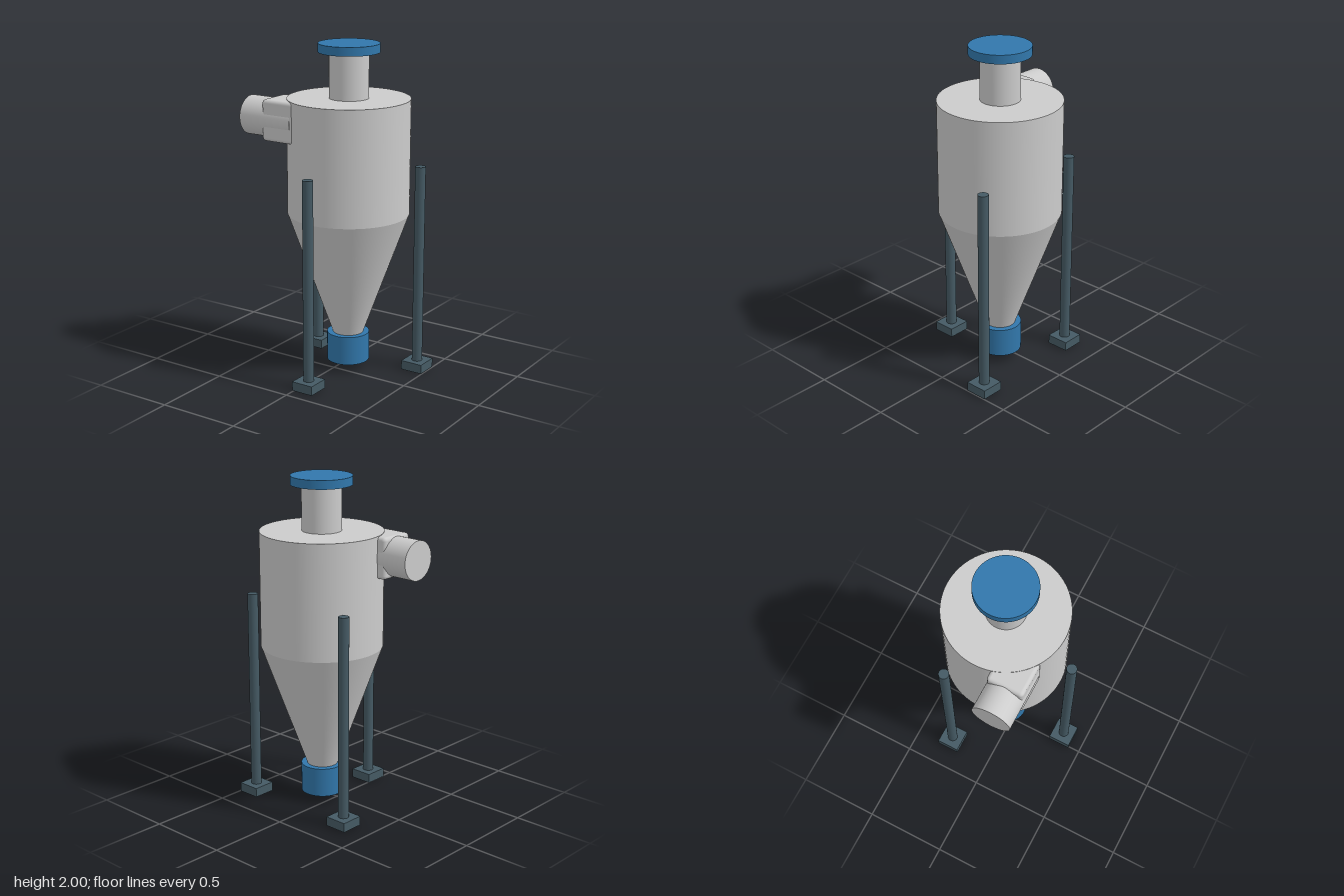
import * as THREE from 'three';
import { RoundedBoxGeometry } from 'three/addons/geometries/RoundedBoxGeometry.js';

const grey = new THREE.MeshStandardMaterial({ color: 0xcccccc });
const blue = new THREE.MeshStandardMaterial({ color: 0x3177ab });
const slate = new THREE.MeshStandardMaterial({ color: 0x455a64 });

const AXIS_X = 0.06, AXIS_Z = -0.066;

function part(name, geometry, material, x, y, z) {
  const mesh = new THREE.Mesh(geometry, material);
  mesh.name = name;
  mesh.position.set(x, y, z);
  return mesh;
}

// Upright cylinder or cone between two heights
function upright(name, rTop, rBottom, y0, y1, material, x = 0, z = 0, sides = 96) {
  const geometry = new THREE.CylinderGeometry(rTop, rBottom, y1 - y0, sides);
  return part(name, geometry, material, x, (y0 + y1) / 2, z);
}

export function createModel() {
  const model = new THREE.Group();
  model.name = 'cycloneSeparator';

  // Vessel parts sharing the main axis
  const vessel = new THREE.Group();
  vessel.name = 'vessel';
  vessel.position.set(AXIS_X, 0, AXIS_Z);
  vessel.add(
    upright('barrel', 0.363, 0.363, 0.99, 1.68, grey),
    upright('cone', 0.363, 0.088, 0.225, 0.99, grey),
    upright('outletPipe', 0.117, 0.117, 1.67, 1.955, grey),
    upright('outletCap', 0.181, 0.181, 1.948, 2, blue),
    upright('dustCup', 0.128, 0.128, 0.06, 0.237, blue)
  );
  model.add(vessel);

  // Tangential inlet: round pipe running through a rounded box
  const inlet = new THREE.Group();
  inlet.name = 'inlet';
  const pipe = new THREE.CylinderGeometry(0.117, 0.117, 0.355, 64).rotateZ(Math.PI / 2);
  inlet.add(
    part('inletPipe', pipe, grey, -0.3225, 1.553, 0.133),
    part('inletTransition', new RoundedBoxGeometry(0.225, 0.246, 0.222, 4, 0.022), grey, -0.232, 1.553, 0.133)
  );
  model.add(inlet);

  // Three legs with square feet, evenly spaced around the axis
  for (let i = 0; i < 3; i++) {
    const angle = Math.PI / 2 + (i * Math.PI * 2) / 3;
    const leg = new THREE.Group();
    leg.name = 'leg' + (i + 1);
    leg.position.set(AXIS_X + 0.423 * Math.cos(angle), 0, AXIS_Z + 0.423 * Math.sin(angle));
    leg.add(
      upright('post', 0.0315, 0.0315, 0.03, 1.275, slate, 0, 0, 32),
      part('foot', new THREE.BoxGeometry(0.139, 0.056, 0.139), slate, 0, 0.028, 0)
    );
    model.add(leg);
  }
  return model;
}
